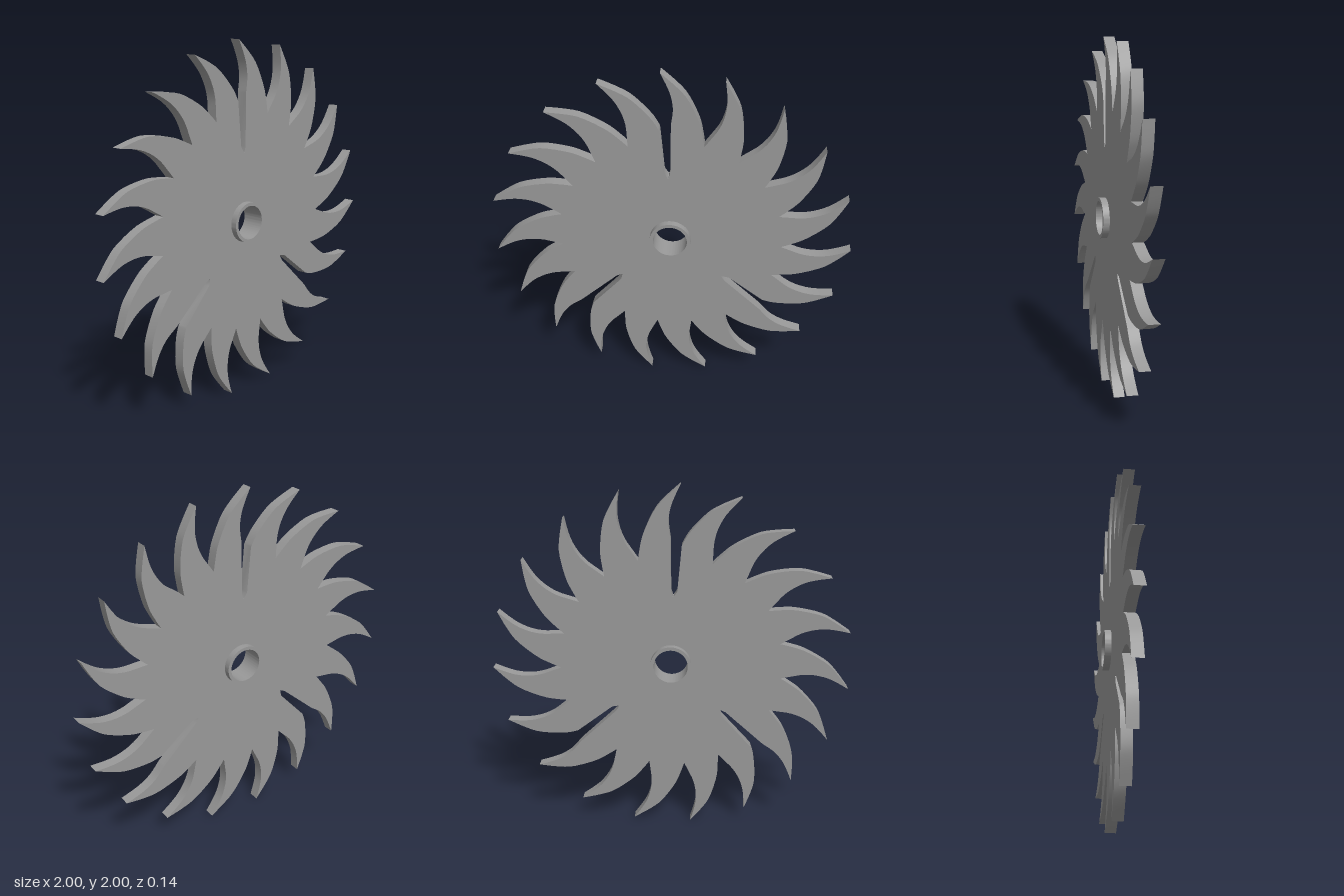
import * as THREE from 'three';
import { toCreasedNormals } from 'three/addons/utils/BufferGeometryUtils.js';

const TEETH = 19;
const STEP = 360 / TEETH;
const FIRST_TIP = 92.95; // degrees, counter-clockwise from +x
const SLOTTED = [0, 7, 12]; // gullets that run deep into the plate
const TIP_R = 1.0045;
const GULLET_R = 0.619;
const BORE_R = 0.095;

// Tooth edges as [degrees from the tip, radius]
const HOOK = [[-0.7, GULLET_R], [-2.4, 0.68], [-3.6, 0.735], [-3.9, 0.8], [-3.2, 0.872], [-1.8, 0.935], [0, TIP_R]];
const SLOT_HOOK = [[-3.2, 0.717], [-3.9, 0.8], [-3.2, 0.872], [-1.8, 0.935], [0, TIP_R]];
const BACK = [[0, TIP_R], [-4.9, 0.93], [-8.9, 0.866], [-14.2, 0.755], [-17.2, 0.68], [-STEP - 0.7, GULLET_R]];
const SLOT_BACK = [[0, TIP_R], [-4.9, 0.93], [-8.9, 0.866], [-14.2, 0.755], [-17, 0.68]];
const SLOT_END = [[1.7, 0.425], [-0.9, 0.393], [-1.5, 0.393], [-2.9, 0.425]];

function polar(tip, [deg, r]) {
  const a = THREE.MathUtils.degToRad(tip + deg);
  return new THREE.Vector2(r * Math.cos(a), r * Math.sin(a));
}

function smoothEdge(tip, edge) {
  return new THREE.SplineCurve(edge.map((p) => polar(tip, p))).getPoints(14);
}

function bladeOutline() {
  const points = [];
  for (let i = 0; i < TEETH; i++) {
    const tip = FIRST_TIP - i * STEP;
    const slotHere = SLOTTED.includes(i);
    const slotNext = SLOTTED.includes((i + 1) % TEETH);
    if (slotHere) points.push(...SLOT_END.map((p) => polar(tip, p)));
    points.push(...smoothEdge(tip, slotHere ? SLOT_HOOK : HOOK));
    // Skip the points shared with the hook and with the next gullet
    const back = smoothEdge(tip, slotNext ? SLOT_BACK : BACK).slice(1);
    if (!slotNext) back.pop();
    points.push(...back);
  }
  return points;
}

export function createModel() {
  const model = new THREE.Group();
  model.name = 'toothedBlade';
  const material = new THREE.MeshStandardMaterial({ color: 0x999999 });

  // Extrudes an outline evenly to both sides of z = 0
  function addPart(name, shape, depth) {
    const geometry = new THREE.ExtrudeGeometry(shape, { depth, bevelEnabled: false, curveSegments: 48 });
    geometry.translate(0, 0, -depth / 2);
    const mesh = new THREE.Mesh(toCreasedNormals(geometry, 0.5), material);
    mesh.name = name;
    model.add(mesh);
  }

  // Flat plate with curved teeth, slots and a centre hole
  const plate = new THREE.Shape(bladeOutline());
  plate.holes.push(new THREE.Path().absarc(0, 0, BORE_R + 0.008, 0, Math.PI * 2, true));
  addPart('blade', plate, 0.062);

  // Hub sleeve standing out on both faces
  const ring = new THREE.Shape().absarc(0, 0, 0.114, 0, Math.PI * 2, false);
  ring.holes.push(new THREE.Path().absarc(0, 0, BORE_R, 0, Math.PI * 2, true));
  addPart('hub', ring, 0.135);

  model.position.set(-0.0045, 0.9975, 0);
  return model;
}
